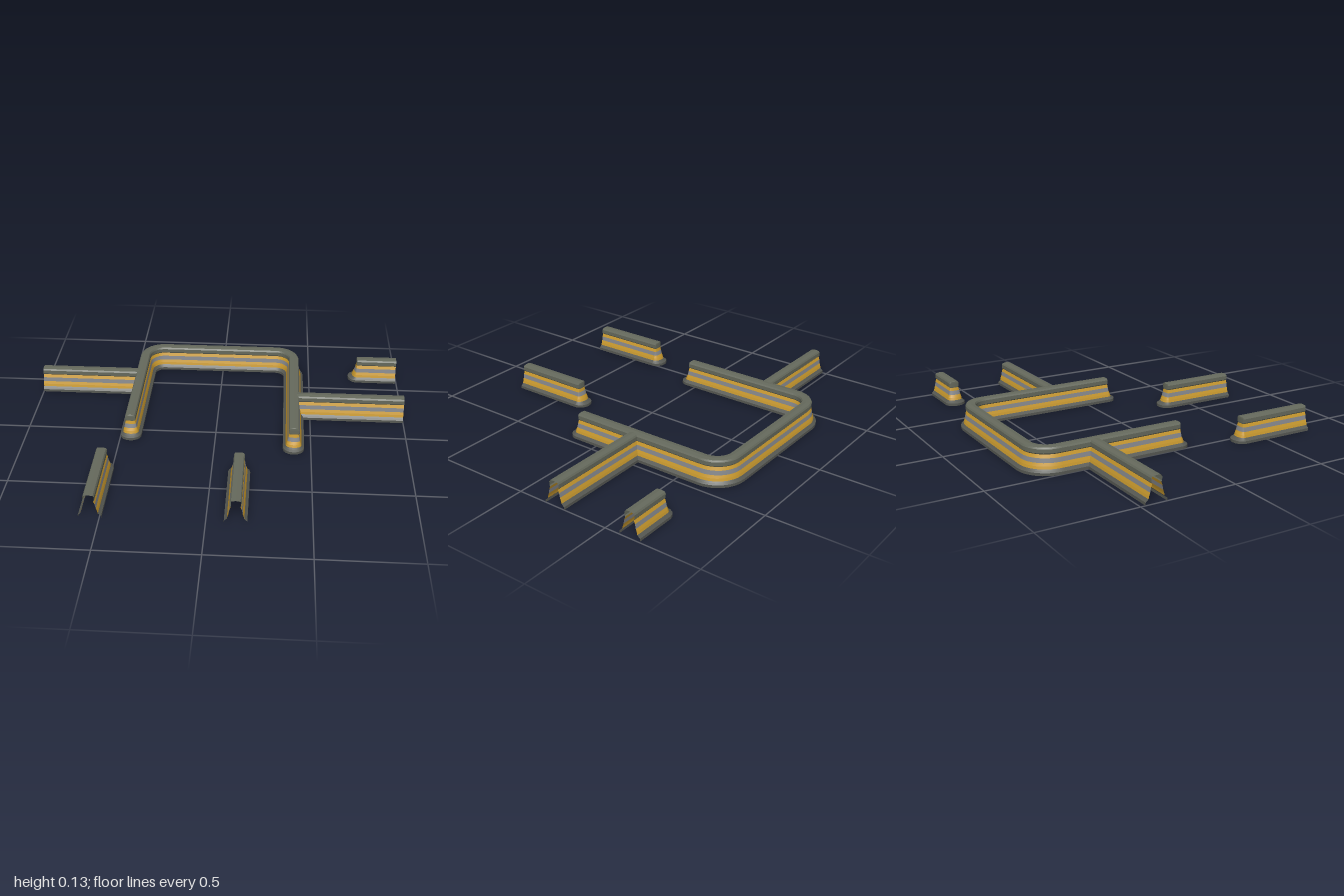
import * as THREE from 'three';

// Half profile of the wall as coloured bands of [distance from centre line, height]
const BANDS = [
  { name: 'footing', color: 0x565852, pts: [[0.055, 0], [0.055, 0.014], [0.047, 0.021], [0.041, 0.027]] },
  { name: 'lowerGoldBand', color: 0xc9992e, pts: [[0.041, 0.027], [0.038, 0.04], [0.033, 0.055]] },
  { name: 'greyBand', color: 0x84868a, pts: [[0.033, 0.055], [0.029, 0.077]] },
  { name: 'upperGoldBand', color: 0xc9992e, pts: [[0.029, 0.077], [0.023, 0.094]] },
  { name: 'coping', color: 0x65695c, pts: [[0.023, 0.094], [0.027, 0.099], [0.027, 0.119], [0.022, 0.127], [0, 0.13]] },
];
const TIP = 0.048; // reach of a rounded end at the footing
const ENDSTEPS = 8;

// How far a rounded end projects for a given profile distance
const reach = (d) => d < 0.027 ? d * 0.15 : 0.004 + (d - 0.027) * (TIP - 0.004) / 0.028;

// Outline around a centre line: one side, round end, other side, round start
function makeOutline(path, roundStart, roundEnd) {
  const frames = path.map((p, i) => {
    const a = path[Math.max(i - 1, 0)], b = path[Math.min(i + 1, path.length - 1)];
    const t = new THREE.Vector2().subVectors(b, a).normalize();
    return { p, t, n: new THREE.Vector2(t.y, -t.x) };
  });
  const out = [];
  const add = (f, angle, sign) => out.push((d) => [
    f.p.x + f.n.x * d * Math.cos(angle) * sign + f.t.x * reach(d) * Math.sin(angle) * sign,
    f.p.y + f.n.y * d * Math.cos(angle) * sign + f.t.y * reach(d) * Math.sin(angle) * sign,
  ]);
  const cap = (f, sign) => {
    for (let i = 1; i < ENDSTEPS; i++) add(f, Math.PI * i / ENDSTEPS, sign);
  };
  frames.forEach((f) => add(f, 0, 1));
  if (roundEnd) cap(frames[frames.length - 1], 1);
  const gap = roundEnd ? -1 : out.length - 1; // open cut between the two sides
  frames.slice().reverse().forEach((f) => add(f, 0, -1));
  if (roundStart) {
    cap(frames[0], -1);
    out.push(out[0]);
  }
  return { out, gap };
}

function makeWall(name, path, roundStart, roundEnd) {
  const wall = new THREE.Group();
  wall.name = name;
  const { out, gap } = makeOutline(path, roundStart, roundEnd);
  for (const band of BANDS) {
    const pos = [], index = [];
    for (let k = 0; k < band.pts.length - 1; k++) {
      const base = pos.length / 3;
      // each profile facet keeps its own vertices, so profile edges stay crisp
      out.forEach((at) => {
        for (const [d, y] of [band.pts[k], band.pts[k + 1]]) {
          const [x, z] = at(d);
          pos.push(x, y, z);
        }
      });
      for (let i = 0; i < out.length - 1; i++) {
        if (i === gap) continue;
        const a = base + i * 2;
        index.push(a, a + 1, a + 2, a + 1, a + 3, a + 2);
      }
    }
    const g = new THREE.BufferGeometry();
    g.setAttribute('position', new THREE.Float32BufferAttribute(pos, 3));
    g.setIndex(index);
    g.computeVertexNormals();
    const mesh = new THREE.Mesh(g, new THREE.MeshStandardMaterial({ color: band.color, side: THREE.DoubleSide }));
    mesh.name = band.name;
    wall.add(mesh);
  }
  return wall;
}

const V = (x, z) => new THREE.Vector2(x, z);

// Quarter turn as a list of centre line points
function corner(cx, cz, r, from, to, steps = 8) {
  return Array.from({ length: steps + 1 }, (_, i) => {
    const a = from + (to - from) * i / steps;
    return V(cx + r * Math.cos(a), cz + r * Math.sin(a));
  });
}

export function createModel() {
  const model = new THREE.Group();
  model.name = 'wallLayout';

  // U-shaped main wall with rounded corners and ends
  const L = -0.445, R = 0.41, B = -0.715, r = 0.105;
  const main = [
    V(L, 0.105 - TIP), V(L, B + r + 0.01),
    ...corner(L + r, B + r, r, Math.PI, Math.PI * 1.5),
    ...corner(R - r, B + r, r, Math.PI * 1.5, Math.PI * 2),
    V(R, B + r + 0.01), V(R, 0.183 - TIP),
  ];
  model.add(makeWall('mainWall', main, true, true));

  // Side walls running out from the main wall
  model.add(makeWall('rightSideWall', [V(L - 0.015, -0.42), V(-1, -0.42)], false, false));
  model.add(makeWall('leftSideWall', [V(R + 0.015, -0.21), V(1, -0.21)], false, false));

  // Free-standing stubs, rounded at one end and cut open at the other
  for (const [name, x] of [['frontRightStub', -0.545], ['frontLeftStub', 0.14]]) {
    model.add(makeWall(name, [V(x, 0.322 + TIP), V(x, 0.767)], true, false));
  }
  model.add(makeWall('backLeftStub', [V(0.725 + TIP, -0.63), V(0.993, -0.63)], true, false));

  return model;
}
